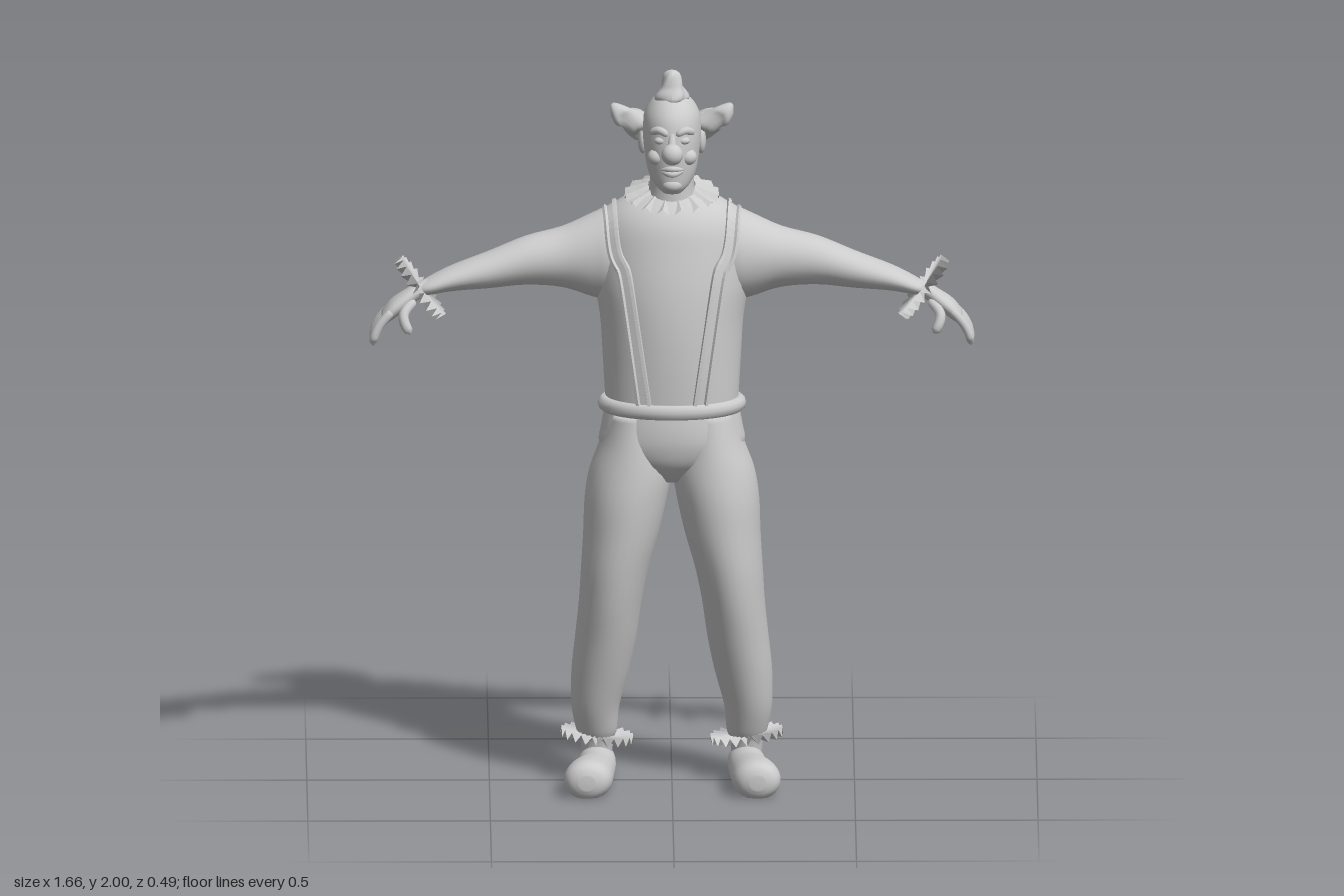
import * as THREE from 'three';

const V = (x, y, z) => new THREE.Vector3(x, y, z);
const smooth = new THREE.MeshStandardMaterial({ color: 0xcccccc });
const faceted = new THREE.MeshStandardMaterial({ color: 0xcccccc, flatShading: true });
const cloth = new THREE.MeshStandardMaterial({ color: 0xcccccc, flatShading: true, side: THREE.DoubleSide });

// Skin a list of equal rings (counter-clockwise about the path), closing both ends
function skin(rings) {
  const mid = r => r.reduce((s, p) => s.add(p), V(0, 0, 0)).divideScalar(r.length);
  const cap = r => { const m = mid(r); return r.map(() => m); };
  const all = [cap(rings[0]), ...rings, cap(rings[rings.length - 1])];
  const n = rings[0].length, index = [];
  for (let i = 0; i < all.length - 1; i++) for (let j = 0; j < n; j++) {
    const a = i * n + j, b = i * n + (j + 1) % n;
    index.push(a, b, a + n, b, b + n, a + n);
  }
  const geo = new THREE.BufferGeometry().setFromPoints(all.flat());
  geo.setIndex(index);
  geo.computeVertexNormals();
  return geo;
}

// Elliptical loft along an axis; rows are [position, centre, radius, centre, radius]
function loft(axis, rows, n = 28, steps = 4) {
  const cr = (a, b, c, d, t) =>
    b + 0.5 * t * (c - a + t * (2 * a - 5 * b + 4 * c - d + t * (3 * (b - c) + d - a)));
  const at = i => rows[Math.min(Math.max(i, 0), rows.length - 1)];
  const rings = [];
  for (let k = 0; k <= (rows.length - 1) * steps; k++) {
    const i = Math.floor(k / steps), f = (k % steps) / steps;
    const [t, c1, r1, c2, r2] = at(i).map((b, m) => cr(at(i - 1)[m], b, at(i + 1)[m], at(i + 2)[m], f));
    rings.push(Array.from({ length: n }, (_, j) => {
      const a = j / n * Math.PI * 2, c = Math.cos(a), s = Math.sin(a);
      if (axis === 'x') return V(t, c1 + r1 * c, c2 + r2 * s);
      if (axis === 'y') return V(c1 + r1 * s, t, c2 + r2 * c);
      return V(c1 + r1 * c, c2 + r2 * s, t);
    }));
  }
  return skin(rings);
}

// Round sweep through points with a radius function of 0..1
function sweep(points, radius, n = 10, steps = 14) {
  const curve = new THREE.CatmullRomCurve3(points.map(p => V(...p)));
  const fr = curve.computeFrenetFrames(steps);
  return skin(Array.from({ length: steps + 1 }, (_, i) => {
    const p = curve.getPointAt(i / steps), r = radius(i / steps);
    return Array.from({ length: n }, (_, j) => {
      const a = j / n * Math.PI * 2;
      return p.clone().addScaledVector(fr.normals[i], r * Math.cos(a)).addScaledVector(fr.binormals[i], r * Math.sin(a));
    });
  }));
}
const tip = (r, sharp = 8) => t => r * Math.pow(Math.max(0.02, 1 - Math.pow(2 * t - 1, sharp)), 0.5);

// Move every vertex by a rule
function reshape(geo, rule) {
  const p = geo.attributes.position, v = V(0, 0, 0);
  for (let i = 0; i < p.count; i++) {
    rule(v.fromBufferAttribute(p, i), i);
    p.setXYZ(i, v.x, v.y, v.z);
  }
  geo.computeVertexNormals();
  return geo;
}
const lumpy = (geo, amp, f = 70) => reshape(geo, v => {
  const d = amp * Math.sin(v.x * f) * Math.sin(v.y * f + 1) + amp * Math.sin(v.z * f + v.y * 40);
  v.x += d * Math.sign(v.x) * Math.min(1, Math.abs(v.x) * 20); v.y += d; v.z -= d * 0.6;
});
const ball = (r, x, y, z, sx = 1, sy = 1, sz = 1) =>
  new THREE.SphereGeometry(r, 20, 14).scale(sx, sy, sz).translate(x, y, z);

// Pleated ring in the XY plane
const ruffle = (inner, outer, pleats, depth) => reshape(new THREE.RingGeometry(inner, outer, pleats * 2, 2), v => {
  const r = Math.hypot(v.x, v.y), k = Math.round(Math.atan2(v.y, v.x) / Math.PI * pleats);
  v.z += (k % 2 ? 1 : -1) * depth * (0.3 + 0.7 * (r - inner) / (outer - inner));
});

function mirrored(geo) {
  const g = geo.clone().scale(-1, 1, 1), ix = g.index.array;
  for (let i = 0; i < ix.length; i += 3) [ix[i], ix[i + 1]] = [ix[i + 1], ix[i]];
  return g;
}

export function createModel() {
  const model = new THREE.Group();
  model.name = 'clown';
  const add = (name, geo, mat = smooth) => {
    const m = new THREE.Mesh(geo, mat);
    m.name = name;
    model.add(m);
    return m;
  };
  const pair = (name, geo, mat) => [add(name + 'Left', geo, mat), add(name + 'Right', mirrored(geo), mat)];

  // Shirt
  const torso = add('torso', loft('y', [
    [1.03, 0, 0.178, 0, 0.13], [1.1, 0, 0.184, -0.015, 0.15], [1.2, 0, 0.19, -0.033, 0.172],
    [1.3, 0, 0.197, -0.044, 0.182], [1.4, 0, 0.213, -0.053, 0.182], [1.5, 0, 0.213, -0.057, 0.168],
    [1.56, 0, 0.198, -0.053, 0.15], [1.6, 0, 0.17, -0.048, 0.125], [1.63, 0, 0.125, -0.045, 0.095],
    [1.65, 0, 0.07, -0.04, 0.065]], 40));
  const sleeves = pair('sleeve', loft('x', [
    [0.1, 1.465, 0.135, -0.06, 0.1], [0.17, 1.468, 0.13, -0.06, 0.11], [0.22, 1.464, 0.115, -0.057, 0.1],
    [0.3, 1.46, 0.084, -0.05, 0.083], [0.4, 1.452, 0.067, -0.04, 0.075], [0.5, 1.43, 0.051, -0.024, 0.068],
    [0.6, 1.41, 0.035, -0.008, 0.062], [0.66, 1.393, 0.025, 0.006, 0.052], [0.69, 1.385, 0.018, 0.018, 0.03]]));

  // Trousers
  add('hips', loft('y', [
    [0.85, 0, 0.05, 0.005, 0.06], [0.9, 0, 0.15, 0.005, 0.11], [0.95, 0, 0.198, 0.004, 0.13],
    [1, 0, 0.194, 0.002, 0.136], [1.06, 0, 0.182, 0, 0.132]], 36));
  pair('trouserLeg', loft('y', [
    [0.04, 0.205, 0.04, -0.075, 0.04], [0.1, 0.205, 0.046, -0.07, 0.045], [0.13, 0.206, 0.056, -0.065, 0.055],
    [0.2, 0.209, 0.066, -0.058, 0.077], [0.3, 0.196, 0.079, -0.046, 0.098], [0.4, 0.181, 0.084, -0.032, 0.114],
    [0.5, 0.169, 0.086, -0.015, 0.124], [0.6, 0.156, 0.093, -0.002, 0.129], [0.7, 0.139, 0.104, 0.003, 0.133],
    [0.8, 0.126, 0.113, 0.005, 0.135], [0.88, 0.114, 0.112, 0.005, 0.13], [0.96, 0.105, 0.092, 0.002, 0.124],
    [1.04, 0.1, 0.075, 0, 0.115]]));

  // Belt roll
  add('belt', new THREE.TorusGeometry(1, 0.1, 10, 48).rotateX(Math.PI / 2).scale(0.185, 0.21, 0.138).translate(0, 1.062, 0));

  // Braces: flat bands with raised edges, laid on the shirt
  const caster = new THREE.Raycaster();
  const section = [[-1, -0.012], [-1, 0.01], [-0.6, 0.012], [-0.45, 0.004], [0.45, 0.004], [0.6, 0.012], [1, 0.01], [1, -0.012]];
  function strap(guide, steps) {
    const path = new THREE.CatmullRomCurve3(guide.map(p => V(...p)));
    const normals = [];
    const hits = path.getPoints(steps).map(from => {
      const dir = V(from.x, Math.min(from.y, 1.45), -0.05).sub(from).normalize();
      caster.set(from, dir);
      normals.push(dir.clone().negate().add(V(from.x * 4, 0, 0)).normalize());
      return caster.intersectObjects([torso, ...sleeves], false)[0].point;
    });
    const at = i => hits[Math.min(Math.max(i, 0), steps)];
    return skin(hits.map((p, i) => {
      const t = at(i + 1).clone().sub(at(i - 1)).normalize();
      const w = t.clone().cross(normals[i]).normalize(), n = w.clone().cross(t);
      const c = p.clone().multiplyScalar(2).add(at(i - 1)).add(at(i + 1)).divideScalar(4);
      return section.map(([a, b]) => c.clone().addScaledVector(w, a * 0.021).addScaledVector(n, b));
    }));
  }
  pair('brace', strap([[0.075, 1.07, 0.4], [0.1, 1.25, 0.4], [0.125, 1.42, 0.4], [0.15, 1.56, 0.35], [0.165, 1.8, 0.1],
    [0.168, 1.85, -0.05], [0.162, 1.8, -0.25], [0.14, 1.56, -0.45], [0.085, 1.44, -0.5], [0.008, 1.3, -0.5]], 56), faceted);
  add('backBrace', strap([[0, 1.33, -0.5], [0, 1.2, -0.5], [0, 1.06, -0.5]], 14), faceted);

  // Shoes with flat soles
  pair('shoe', reshape(loft('z', [
    [-0.13, 0.2, 0.02, 0.035, 0.02], [-0.115, 0.2, 0.042, 0.036, 0.04], [-0.05, 0.205, 0.052, 0.036, 0.05],
    [0.03, 0.21, 0.054, 0.036, 0.05], [0.12, 0.224, 0.064, 0.042, 0.055], [0.2, 0.231, 0.066, 0.046, 0.056],
    [0.235, 0.233, 0.05, 0.046, 0.044], [0.248, 0.234, 0.022, 0.046, 0.02]]), v => { v.y = Math.max(v.y, 0); }));

  // Ruffles at ankles, wrists and neck
  pair('ankleRuffle', ruffle(0.04, 0.1, 20, 0.012).rotateX(-Math.PI / 2).rotateZ(0.12).translate(0.205, 0.115, -0.055), cloth);
  pair('wristRuffle', ruffle(0.02, 0.1, 20, 0.014).rotateY(Math.PI / 2).rotateZ(-0.64).translate(0.69, 1.388, 0.02), cloth);
  add('collarRuffle', reshape(ruffle(0.065, 0.13, 16, 0.01).rotateX(-Math.PI / 2), v => {
    const r = Math.hypot(v.x, v.z);
    v.y += 1.665 - (r - 0.065) * 0.45 - v.z * 0.22;
    v.z = v.z * 0.85 - 0.035;
  }), cloth);

  // Hands
  pair('palm', loft('x', [
    [0.65, 1.398, 0.02, 0.012, 0.03], [0.69, 1.383, 0.024, 0.02, 0.03], [0.73, 1.357, 0.028, 0.026, 0.042],
    [0.77, 1.328, 0.029, 0.026, 0.052], [0.795, 1.305, 0.02, 0.026, 0.046]], 20));
  [[-0.018, 1.255], [0.01, 1.235], [0.04, 1.232], [0.068, 1.245]].forEach(([z, y], i) =>
    pair('finger' + (i + 1), sweep([[0.765, 1.335, z], [0.8, 1.295, z * 1.08], [0.815, 1.265, z * 1.12], [0.819, y, z * 1.12]], tip(0.0125))));
  pair('thumb', sweep([[0.705, 1.36, 0.045], [0.735, 1.325, 0.078], [0.73, 1.298, 0.09], [0.716, 1.275, 0.093]], tip(0.014)));

  // Neck and head
  add('neck', loft('y', [[1.58, 0, 0.085, -0.04, 0.085], [1.64, 0, 0.066, -0.025, 0.07],
    [1.69, 0, 0.06, -0.018, 0.064], [1.76, 0, 0.06, -0.015, 0.065]]));
  add('head', loft('y', [
    [1.666, 0, 0.025, 0.06, 0.03], [1.685, 0, 0.047, 0.043, 0.06], [1.72, 0, 0.066, 0.02, 0.088],
    [1.77, 0, 0.075, 0.008, 0.104], [1.82, 0, 0.08, 0, 0.109], [1.87, 0, 0.077, -0.005, 0.104],
    [1.905, 0, 0.06, -0.005, 0.08], [1.925, 0, 0.038, -0.003, 0.05], [1.933, 0, 0.012, 0, 0.015]], 36));

  // Face
  add('noseBall', ball(0.03, 0, 1.79, 0.146));
  add('noseBridge', sweep([[0, 1.84, 0.096], [0, 1.815, 0.108], [0, 1.785, 0.122]], t => 0.009 + t * 0.006));
  add('upperLip', sweep([[-0.034, 1.736, 0.094], [0, 1.741, 0.113], [0.034, 1.736, 0.094]], tip(0.008, 2)));
  add('lowerLip', sweep([[-0.032, 1.734, 0.095], [0, 1.726, 0.112], [0.032, 1.734, 0.095]], tip(0.009, 2)));
  add('chin', ball(0.026, 0, 1.692, 0.088, 1.1, 0.8, 0.9));
  pair('brow', sweep([[0.06, 1.835, 0.072], [0.034, 1.846, 0.095], [0.01, 1.834, 0.104]], tip(0.011, 4)));
  pair('eye', ball(0.015, 0.031, 1.817, 0.091, 1.2, 0.75, 1));
  pair('cheek', ball(0.026, 0.042, 1.768, 0.076, 1, 0.9, 1));
  pair('ear', ball(0.03, 0.08, 1.795, -0.015, 0.45, 1.25, 0.8));

  // Hair: a band round the back, side puffs and a crown tuft
  add('hairBand', lumpy(sweep([[-0.095, 1.865, 0.005], [-0.098, 1.835, -0.045], [-0.06, 1.815, -0.085], [0, 1.81, -0.097],
    [0.06, 1.815, -0.085], [0.098, 1.835, -0.045], [0.095, 1.865, 0.005]], tip(0.038), 18, 50), 0.004));
  pair('hairPuff', lumpy(sweep([[0.075, 1.835, -0.03], [0.105, 1.85, -0.02], [0.135, 1.868, -0.005], [0.168, 1.872, 0.005]],
    t => tip(0.036, 6)(t) * (1 - 0.3 * t), 16, 24), 0.005, 90));
  const tuft = [[0.002, 1.91], [0.04, 1.915], [0.043, 1.93], [0.032, 1.95], [0.028, 1.965], [0.022, 1.985], [0.012, 1.996], [0, 1.999]];
  add('crownTuft', reshape(new THREE.LatheGeometry(
    new THREE.SplineCurve(tuft.map(p => new THREE.Vector2(...p))).getPoints(24), 24), v => {
    const k = 1 + 0.12 * Math.sin(Math.atan2(v.z, v.x) * 4 + v.y * 70);
    v.x *= k;
    v.z = v.z * k + 0.015;
  }));

  return model;
}
